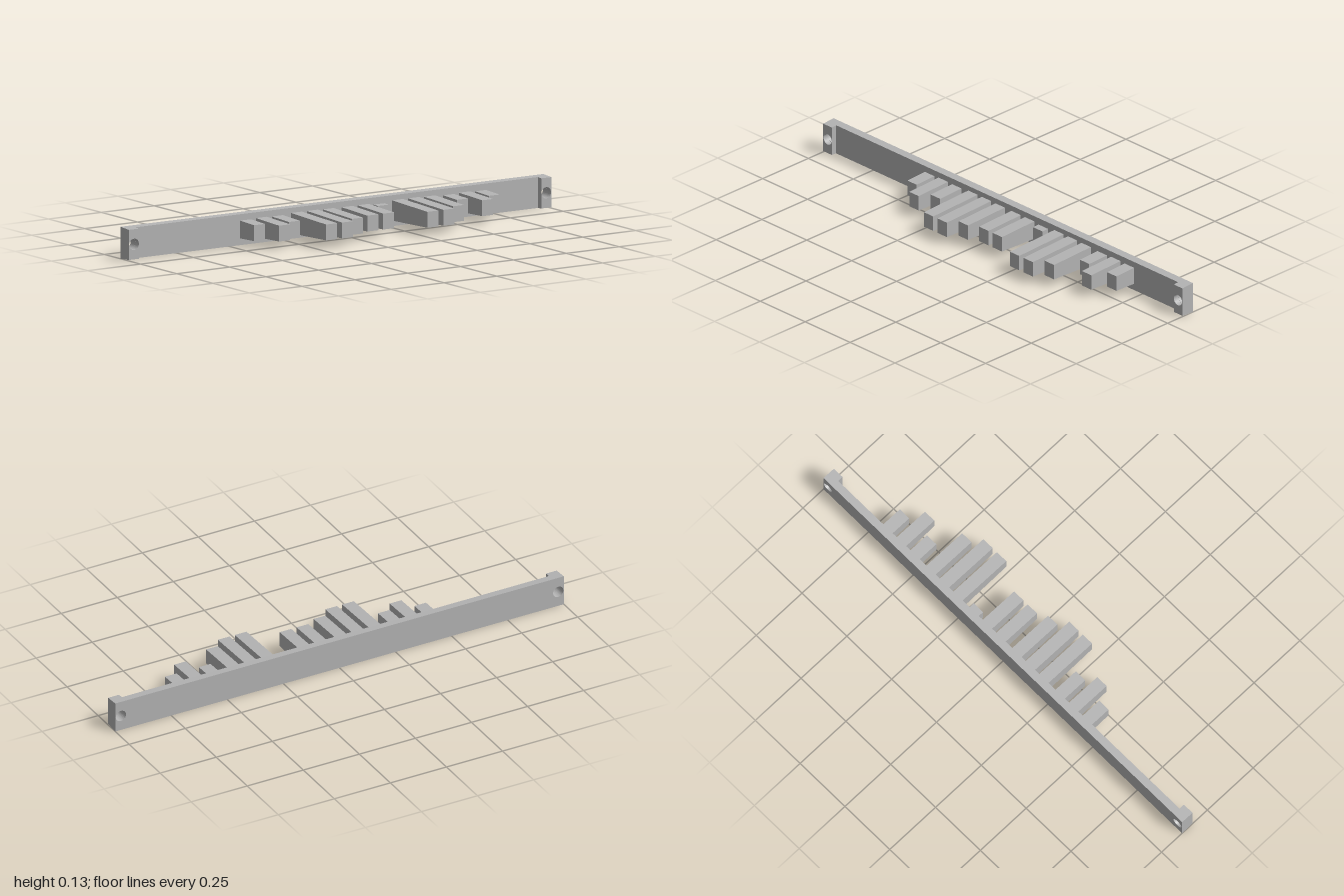
import * as THREE from 'three';

const MID = 0.0635;   // height of the centre line
const BACK = -0.138, FACE = -0.105, LUG = -0.081;
const HOLE_X = 0.975, HOLE_R = 0.023;

// Half height of the rail at depth z (slight moulding draft)
const railHalf = (z) => 0.0635 - 0.065 * (z - BACK);

// Plate in the XY plane with round holes, extruded from z0 to z1 and drafted
function draftedPlate(x0, x1, holes, z0, z1) {
  const s = new THREE.Shape();
  s.moveTo(x0, -1).lineTo(x1, -1).lineTo(x1, 1).lineTo(x0, 1).closePath();
  for (const hx of holes) {
    const h = new THREE.Path();
    h.absellipse(hx, 0, HOLE_R, HOLE_R / railHalf(z0), 0, Math.PI * 2, true);
    s.holes.push(h);
  }
  const g = new THREE.ExtrudeGeometry(s, { depth: z1 - z0, bevelEnabled: false, curveSegments: 16 });
  g.translate(0, 0, z0);
  const p = g.attributes.position;
  for (let i = 0; i < p.count; i++) p.setY(i, MID + p.getY(i) * railHalf(p.getZ(i)));
  g.computeVertexNormals();
  return g;
}

// Tooth: a box whose top and bottom taper toward the tip
function toothGeometry(tip) {
  const len = tip - FACE;
  const g = new THREE.BoxGeometry(0.052, 1, len);
  g.translate(0, 0, FACE + len / 2);
  const p = g.attributes.position;
  for (let i = 0; i < p.count; i++) {
    const half = 0.0315 + 0.036 * (tip - p.getZ(i));
    p.setY(i, MID + 0.001 + p.getY(i) * 2 * half);
  }
  g.computeVertexNormals();
  return g;
}

export function createModel() {
  const model = new THREE.Group();
  const grey = new THREE.MeshStandardMaterial({ color: 0xb4b4b4 });
  grey.name = 'grey';
  const add = (name, geometry) => {
    const m = new THREE.Mesh(geometry, grey);
    m.name = name;
    model.add(m);
    return m;
  };

  // Long rail with a screw hole at each end
  add('rail', draftedPlate(-1, 1, [-HOLE_X, HOLE_X], BACK, FACE));

  // Raised mounting lugs around the holes
  add('leftLug', draftedPlate(0.952, 1, [HOLE_X], FACE, LUG));
  add('rightLug', draftedPlate(-1, -0.952, [-HOLE_X], FACE, LUG));

  // Five groups of three teeth of differing length: [centre x, tip depths]
  const groups = [
    [-0.356, [-0.008, 0.055, 0.012]],
    [-0.115, [0.138, 0.138, 0.096]],
    [0.125, [0.072, 0.072, -0.075]],
    [0.364, [0.138, 0.138, 0.096]],
    [0.605, [-0.008, 0.055, -0.008]],
  ];
  groups.forEach(([cx, tips], g) => tips.forEach((tip, i) => {
    add(`tooth${g * 3 + i + 1}`, toothGeometry(tip)).position.x = cx + (i - 1) * 0.0755;
  }));

  return model;
}
